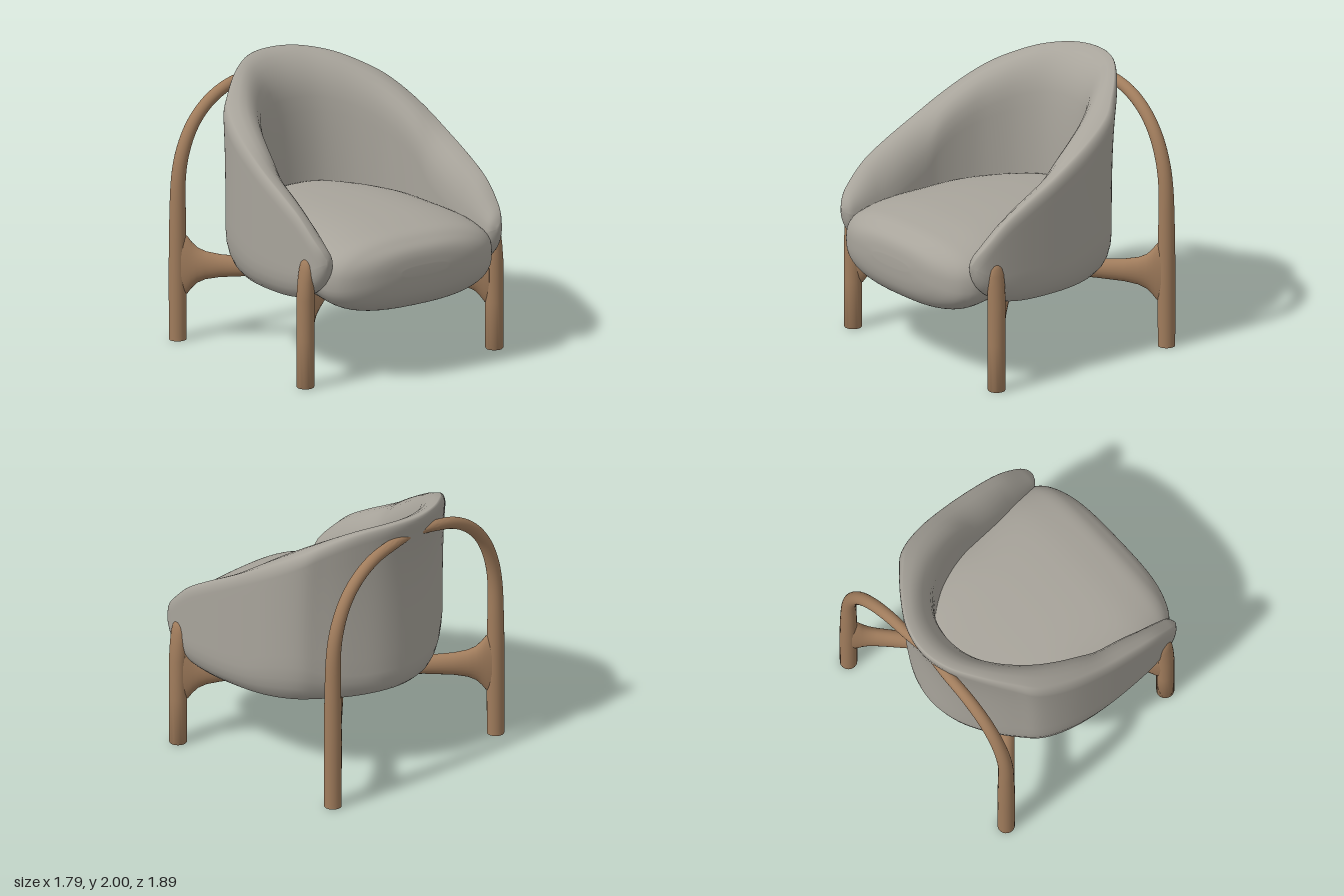
import * as THREE from 'three';
import { toCreasedNormals } from 'three/addons/utils/BufferGeometryUtils.js';

const V = (x, y, z) => new THREE.Vector3(x, y, z);

// Smoothly resample a table of rows, column by column.
function resample(rows, n) {
  const columns = rows[0].map((_, c) =>
    new THREE.SplineCurve(rows.map((r, i) => new THREE.Vector2(i, r[c]))));
  return Array.from({ length: n + 1 }, (_, i) => columns.map((s) => s.getPoint(i / n).y));
}

// Skin closed rings of points, cap both ends and face the surface outwards.
function loft(rings) {
  const m = rings[0].length, n = rings.length;
  const pts = rings.flat();
  const tris = [];
  for (let i = 0; i < n - 1; i++) {
    for (let j = 0; j < m; j++) {
      const a = i * m + j, b = i * m + (j + 1) % m;
      tris.push([a, b, b + m], [a, b + m, a + m]);
    }
  }
  [0, n - 1].forEach((k) => {
    const centre = pts.length;
    pts.push(rings[k].reduce((s, p) => s.add(p), V(0, 0, 0)).divideScalar(m));
    for (let j = 0; j < m; j++) {
      const a = k * m + j, b = k * m + (j + 1) % m;
      tris.push(k ? [a, b, centre] : [b, a, centre]);
    }
  });
  let volume = 0;
  for (const [a, b, c] of tris) volume += pts[a].dot(V(0, 0, 0).crossVectors(pts[b], pts[c]));
  if (volume < 0) tris.forEach((t) => t.reverse());
  const g = new THREE.BufferGeometry().setFromPoints(pts);
  g.setIndex(tris.flat());
  g.computeVertexNormals();
  return g;
}

// Sweep an ellipse along a path; rb is its radius along the fixed axis, ra across it.
function sweep(path, ra, rb, axis, sides = 24) {
  return toCreasedNormals(loft(path.map((p, i) => {
    const t = path[Math.min(i + 1, path.length - 1)].clone().sub(path[Math.max(i - 1, 0)]).normalize();
    const side = V(0, 0, 0).crossVectors(t, axis).normalize();
    return Array.from({ length: sides }, (_, j) => {
      const a = j / sides * Math.PI * 2;
      return p.clone().addScaledVector(side, Math.cos(a) * ra[i]).addScaledVector(axis, Math.sin(a) * rb[i]);
    });
  })), 0.9);
}

// Wrap-around shell: a padded wall section carried along a U-shaped plan.
function shellGeometry() {
  // outer x, outer z, inner x, inner z, top, bottom; from the back centre to an arm tip
  const half = [
    [0, -0.84, 0, -0.62, 2.0, 0.62], [0.22, -0.8, 0.2, -0.585, 1.99, 0.62],
    [0.43, -0.69, 0.37, -0.47, 1.945, 0.61], [0.61, -0.56, 0.5, -0.3, 1.86, 0.6],
    [0.735, -0.44, 0.57, -0.14, 1.77, 0.59], [0.815, -0.22, 0.61, 0.02, 1.64, 0.58],
    [0.85, 0.08, 0.62, 0.15, 1.485, 0.58], [0.857, 0.35, 0.63, 0.37, 1.35, 0.59],
    [0.85, 0.55, 0.65, 0.55, 1.235, 0.63], [0.83, 0.7, 0.67, 0.7, 1.1, 0.72],
    [0.8, 0.77, 0.69, 0.77, 1.02, 0.81], [0.76, 0.8, 0.74, 0.8, 0.95, 0.91],
  ];
  const other = half.slice(1).reverse().map(([a, b, c, ...rest]) => [-a, b, -c, ...rest]);
  const crest = 0.68; // the rim peaks close to the outer face and slopes down inwards
  const rings = resample([...other, ...half], 110).map(([ox, oz, ix, iz, top, bottom]) => {
    const h = top - bottom;
    const r = Math.min(Math.hypot(ox - ix, oz - iz) / 2, h / 2);
    const low = Math.min(r * 1.8, h / 2);
    const outerDrop = Math.min(0.09, h / 2), innerDrop = Math.min(0.32, h / 2);
    const lean = 0.11 * Math.max(0, -oz / 0.84) ** 2;
    const section = [];
    for (let k = 0; k <= 12; k++) {
      const a = k / 12 * Math.PI, c = Math.cos(a);
      const drop = c > 0 ? outerDrop : innerDrop;
      section.push([crest + c * (c > 0 ? 1 - crest : 1 + crest), top - drop * (1 - Math.sin(a))]);
    }
    for (let k = 1; k < 8; k++) section.push([-1, THREE.MathUtils.lerp(top - innerDrop, bottom + low, k / 8)]);
    for (let k = 0; k <= 10; k++) {
      const a = Math.PI + k / 10 * Math.PI;
      section.push([Math.cos(a), bottom + low + low * Math.sin(a)]);
    }
    for (let k = 1; k < 8; k++) section.push([1, THREE.MathUtils.lerp(bottom + low, top - outerDrop, k / 8)]);
    return section.map(([u, y]) => {
      const f = (u + 1) / 2;
      return V(ix + (ox - ix) * f, y, iz + (oz - iz) * f - lean * ((y - bottom) / h) ** 4);
    });
  });
  return loft(rings);
}

// Plump seat cushion: superelliptic sections from front to back.
function cushionGeometry() {
  // z, half width, top, bottom
  const rows = [
    [0.943, 0.2, 0.83, 0.76], [0.933, 0.36, 0.9, 0.67], [0.91, 0.49, 0.95, 0.595],
    [0.865, 0.61, 0.99, 0.535], [0.8, 0.69, 1.03, 0.5], [0.7, 0.735, 1.055, 0.49],
    [0.5, 0.745, 1.085, 0.52], [0.2, 0.72, 1.1, 0.54], [-0.1, 0.7, 1.1, 0.56],
    [-0.4, 0.58, 1.09, 0.57], [-0.6, 0.39, 1.07, 0.59], [-0.7, 0.12, 1.0, 0.64],
  ];
  const power = (v) => Math.sign(v) * Math.abs(v) ** (2 / 2.6);
  return loft(resample(rows, 66).map(([z, w, top, bottom]) =>
    Array.from({ length: 56 }, (_, j) => {
      const a = j / 56 * Math.PI * 2;
      return V(w * power(Math.cos(a)), (top + bottom) / 2 + (top - bottom) / 2 * power(Math.sin(a)), z);
    })));
}

export function createModel() {
  const cloth = new THREE.MeshStandardMaterial({ color: 0xa8a49b });
  cloth.name = 'grey cloth';
  const wood = new THREE.MeshStandardMaterial({ color: 0xa07c5c });
  wood.name = 'oak wood';

  const model = new THREE.Group();
  model.name = 'armchair';
  const add = (name, geometry, material) => {
    const mesh = new THREE.Mesh(geometry, material);
    mesh.name = name;
    model.add(mesh);
  };

  add('backAndArms', shellGeometry(), cloth);
  add('seatCushion', cushionGeometry(), cloth);

  const frontZ = 0.637, rearZ = -0.88, legX = 0.832;
  for (const s of [1, -1]) {
    const side = s > 0 ? 'left' : 'right';

    // Front leg with a rounded, inward tapering tip: y, inward shift, x radius, z radius
    const leg = [[0, 0, 0.06, 0.06], [0.008, 0, 0.064, 0.065], [0.35, 0, 0.064, 0.065], [0.65, 0, 0.064, 0.065],
      [0.78, 0.004, 0.055, 0.065], [0.86, 0.008, 0.045, 0.062], [0.91, 0.01, 0.035, 0.052],
      [0.938, 0.012, 0.022, 0.034], [0.948, 0.012, 0.008, 0.012]];
    add(side + 'FrontLeg', sweep(leg.map(([y, d]) => V(s * (legX - d), y, frontZ)),
      leg.map((r) => r[2]), leg.map((r) => r[3]), V(0, 0, 1)), wood);

    // Rear leg arching up to the middle of the back: x, y, radius
    const arch = [[legX, 0, 0.062], [legX, 0.3, 0.063], [legX, 0.6, 0.063], [legX, 0.9, 0.059],
      [0.825, 1.18, 0.053], [0.785, 1.38, 0.05], [0.7, 1.56, 0.047], [0.57, 1.7, 0.045],
      [0.4, 1.795, 0.043], [0.2, 1.84, 0.039], [0.03, 1.85, 0.022]];
    const rows = resample(arch, 60);
    const radii = rows.map((r) => r[2]);
    add(side + 'RearLegAndArch', sweep(rows.map(([x, y]) => V(s * x, y, rearZ)), radii, radii, V(0, 0, 1)), wood);

    // Diagonal beam, flaring upright where it meets the legs: distance from the leg, half height
    const a = V(s * legX, 0.55, frontZ), b = V(-s * legX, 0.55, rearZ);
    const length = a.distanceTo(b);
    const flare = [[0.03, 0.24], [0.07, 0.21], [0.1, 0.17], [0.14, 0.13], [0.2, 0.102],
      [0.3, 0.083], [0.5, 0.069], [0.8, 0.06]];
    const beam = [...flare, ...flare.slice().reverse().map(([d, r]) => [length - d, r])];
    add(side + 'DiagonalBeam', sweep(beam.map(([d]) => a.clone().lerp(b, d / length)),
      beam.map(() => 0.058), beam.map((r) => r[1]), V(0, 1, 0)), wood);
  }
  return model;
}
